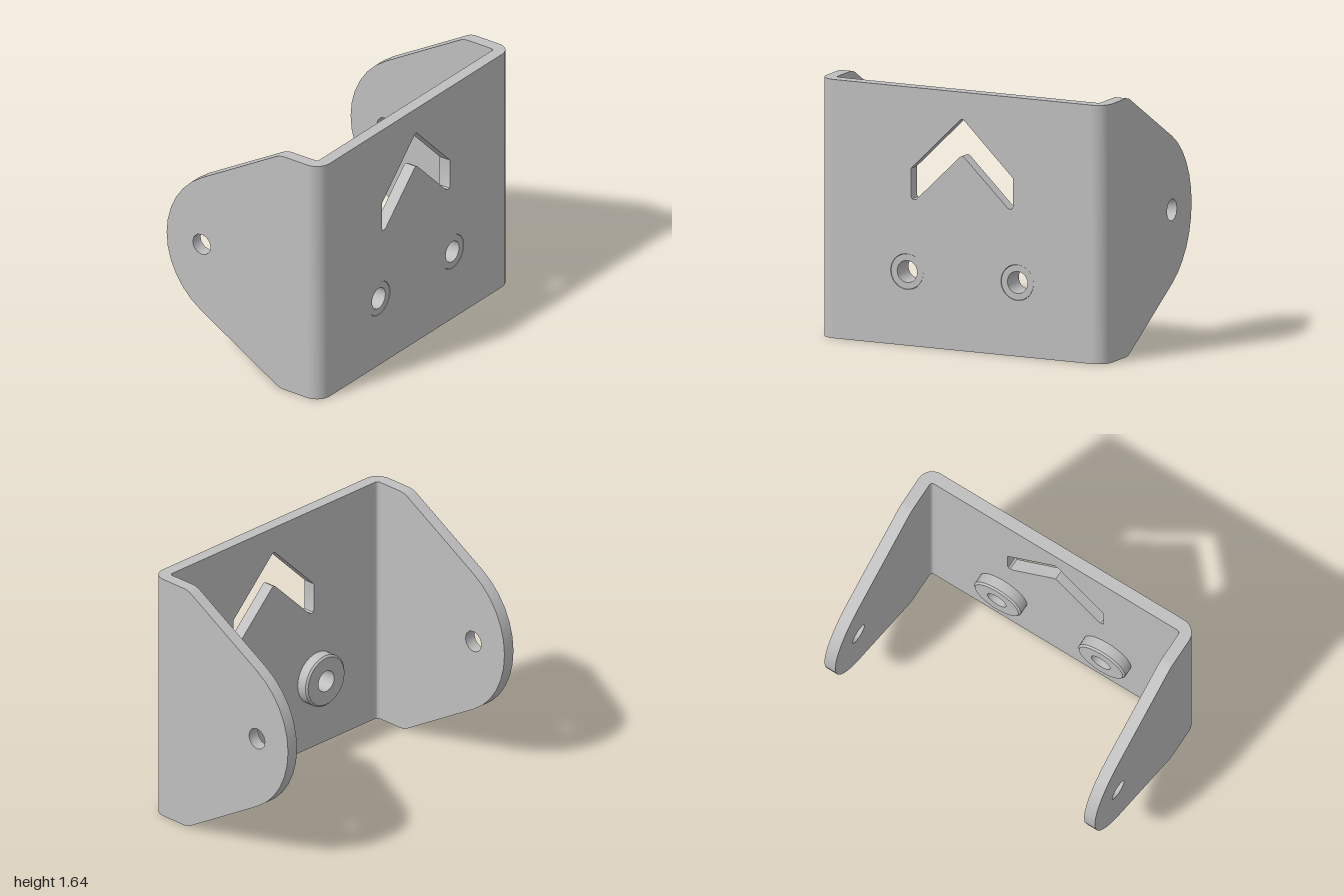
import * as THREE from 'three';
import { toCreasedNormals } from 'three/addons/utils/BufferGeometryUtils.js';

const H = 1.645;      // bracket height
const T = 0.08;       // sheet thickness
const XO = 0.595;     // outer face of the web
const R = 0.1;        // outer bend radius
const BX = XO - R;    // bend centre in x
const BZ = 1 - R;     // bend centre in z
const NUT_Z = 0.385, NUT_Y = 0.47;

const extrude = (shape, depth, curveSegments) =>
  new THREE.ExtrudeGeometry(shape, { depth, curveSegments, bevelEnabled: false });

function circleHole(x, y, r) {
  return new THREE.Path().absarc(x, y, r, 0, Math.PI * 2, true);
}

// Side plate: straight at the bend, tapering at 30 degrees to a round nose
function flangeShape() {
  const rn = 0.544, cx = -0.597 + rn, cy = H / 2, rc = 0.14, xc = 0.32;
  const s = new THREE.Shape();
  s.moveTo(BX, 0);
  s.lineTo(BX, H);
  s.lineTo(xc, H);
  s.absarc(xc, H - rc, rc, Math.PI / 2, Math.PI * 2 / 3, false);
  s.absarc(cx, cy, rn, Math.PI * 2 / 3, Math.PI * 4 / 3, false);
  s.absarc(xc, rc, rc, Math.PI * 4 / 3, Math.PI * 3 / 2, false);
  s.closePath();
  s.holes.push(circleHole(-0.325, cy, 0.07));
  return s;
}

// Web plate with a chevron window and two nut holes
function webShape() {
  const s = new THREE.Shape();
  s.moveTo(-BZ, 0).lineTo(BZ, 0).lineTo(BZ, H).lineTo(-BZ, H).closePath();
  const half = [[0.012, 1.468], [0.355, 1.13], [0.355, 0.95], [0.349, 0.936],
    [0.335, 0.93], [0.317, 0.937], [0.015, 1.232]];
  const mirrored = half.map(([z, y]) => [-z, y]).reverse();
  const pts = [[0, 1.473], ...half, [0, 1.238], ...mirrored];
  s.holes.push(new THREE.Path(pts.map(([z, y]) => new THREE.Vector2(z, y))));
  for (const side of [-1, 1]) s.holes.push(circleHole(side * NUT_Z, NUT_Y, 0.114));
  return s;
}

// Quarter ring joining the web to a side plate
function bendShape(side) {
  const a0 = side > 0 ? -Math.PI / 2 : 0, a1 = a0 + Math.PI / 2;
  const s = new THREE.Shape();
  s.absarc(BX, -side * BZ, R, a0, a1, false);
  s.absarc(BX, -side * BZ, R - T, a1, a0, true);
  s.closePath();
  return s;
}

export function createModel() {
  const group = new THREE.Group();
  const steel = new THREE.MeshStandardMaterial({ color: 0xbfbfbf });
  steel.name = 'grey steel';

  const add = (name, geometry) => {
    const mesh = new THREE.Mesh(toCreasedNormals(geometry, 0.6), steel);
    mesh.name = name;
    group.add(mesh);
    return mesh;
  };

  add('webPlate', extrude(webShape(), T, 16).rotateY(Math.PI / 2).translate(XO - T, 0, 0));

  // Flanged nut with a chamfered rim and a shank through the web
  const nutProfile = [[0.07, 0.435], [0.161, 0.435], [0.173, 0.447], [0.173, 0.515],
    [0.112, 0.515], [0.112, 0.592], [0.07, 0.592], [0.07, 0.435]]
    .map(([r, x]) => new THREE.Vector2(r, x));

  for (const side of [1, -1]) {
    const label = side > 0 ? 'front' : 'back';
    add(label + 'SidePlate', extrude(flangeShape(), T, 6).translate(0, 0, side > 0 ? 1 - T : -1));
    add(label + 'Bend', extrude(bendShape(side), H, 6).rotateX(-Math.PI / 2));
    add(label + 'Nut', new THREE.LatheGeometry(nutProfile, 32).rotateZ(-Math.PI / 2))
      .position.set(0, NUT_Y, side * NUT_Z);
  }
  return group;
}
